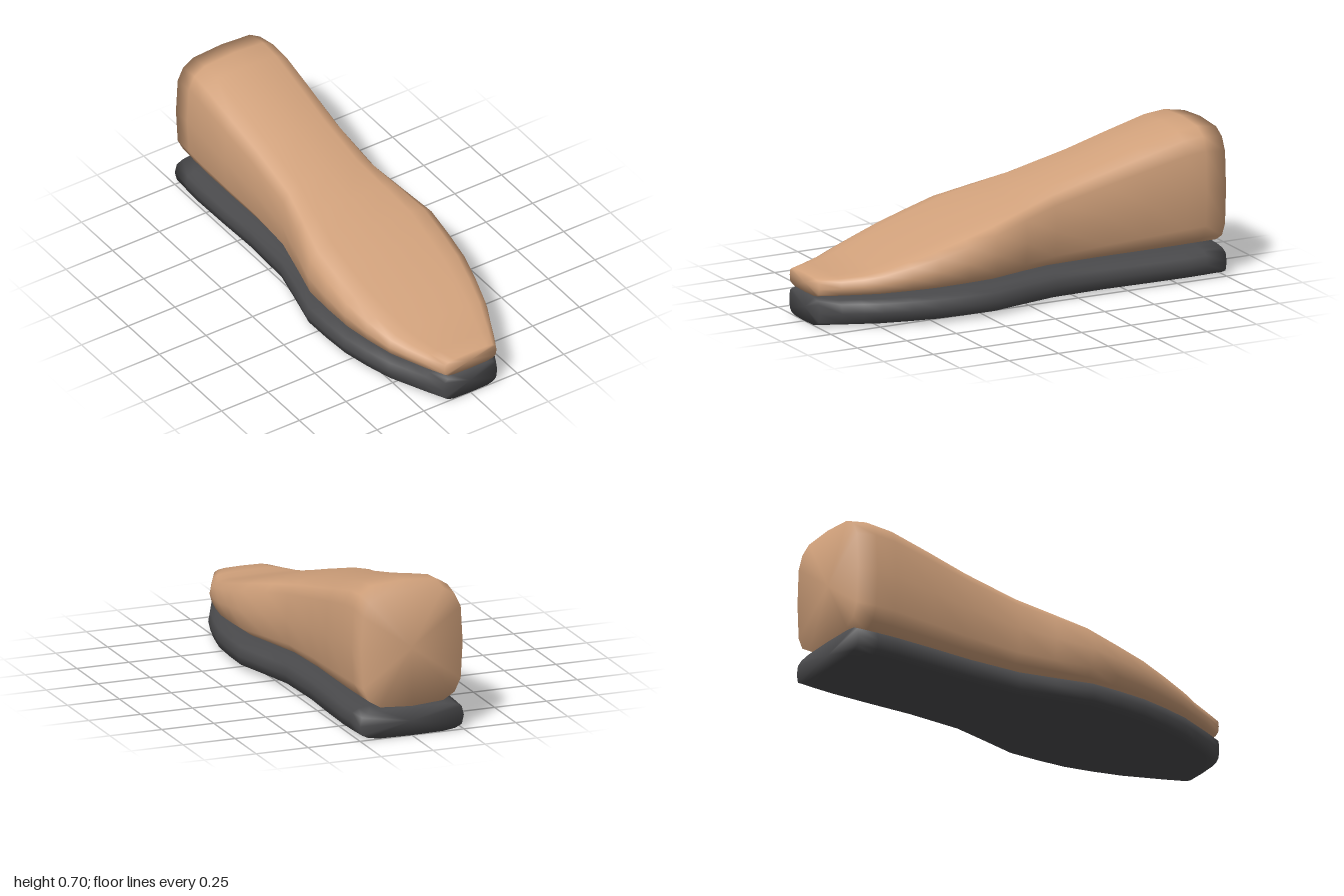
import * as THREE from 'three';

const SIDES = 16;

// Ring profile along the foot, heel to toe: [z, half width, top of upper]
const STATIONS = [
  [-1.0, 0.25, 0.68], [-0.9, 0.257, 0.697], [-0.8, 0.261, 0.686],
  [-0.6, 0.257, 0.633], [-0.4, 0.25, 0.578], [-0.14, 0.26, 0.512],
  [0.03, 0.302, 0.468], [0.2, 0.346, 0.422], [0.34, 0.344, 0.378],
  [0.48, 0.335, 0.335], [0.61, 0.307, 0.294], [0.74, 0.27, 0.255],
  [0.82, 0.232, 0.237], [0.91, 0.19, 0.228], [1.0, 0.143, 0.222],
];

// Signed square root turns a circle into a rounded rectangle
const squarish = (v) => Math.sign(v) * Math.sqrt(Math.abs(v));

// Closed loft through rounded-rectangle rings { z, halfWidth, bottom, top }
function loft(rings) {
  const pos = [];
  const idx = [];
  for (const r of rings) {
    const mid = (r.top + r.bottom) / 2;
    const half = (r.top - r.bottom) / 2;
    for (let j = 0; j < SIDES; j++) {
      const a = (j / SIDES) * Math.PI * 2;
      const c = Math.abs(Math.cos(a)) < 1e-6 ? 0 : Math.cos(a);
      const s = Math.abs(Math.sin(a)) < 1e-6 ? 0 : Math.sin(a);
      pos.push(r.halfWidth * squarish(c), mid + half * squarish(s), r.z);
    }
  }
  const last = rings.length - 1;
  for (let i = 0; i < last; i++) {
    for (let j = 0; j < SIDES; j++) {
      const k = (j + 1) % SIDES;
      const a = i * SIDES + j, b = i * SIDES + k;
      idx.push(a, b, b + SIDES, a, b + SIDES, a + SIDES);
    }
  }
  // Flat fans close the heel and the toe
  for (const i of [0, last]) {
    const r = rings[i];
    const centre = pos.length / 3;
    pos.push(0, (r.top + r.bottom) / 2, r.z);
    for (let j = 0; j < SIDES; j++) {
      const a = i * SIDES + j, b = i * SIDES + ((j + 1) % SIDES);
      if (i === 0) idx.push(centre, b, a);
      else idx.push(centre, a, b);
    }
  }
  const geo = new THREE.BufferGeometry();
  geo.setAttribute('position', new THREE.Float32BufferAttribute(pos, 3));
  geo.setIndex(idx);
  geo.computeVertexNormals();
  return geo;
}

function part(name, color, rings) {
  const mesh = new THREE.Mesh(loft(rings), new THREE.MeshStandardMaterial({ color }));
  mesh.name = name;
  return mesh;
}

export function createModel() {
  const group = new THREE.Group();
  group.name = 'shoe';

  // Flat sole
  group.add(part('sole', 0x4a4a4c, STATIONS.map(([z, w]) => (
    { z, halfWidth: w, bottom: 0, top: 0.133 }))));

  // Upper, a touch narrower than the sole and rising to the heel
  group.add(part('upper', 0xd2a27c, STATIONS.map(([z, w, top]) => (
    { z, halfWidth: w * 0.977, bottom: 0.136, top }))));

  return group;
}
